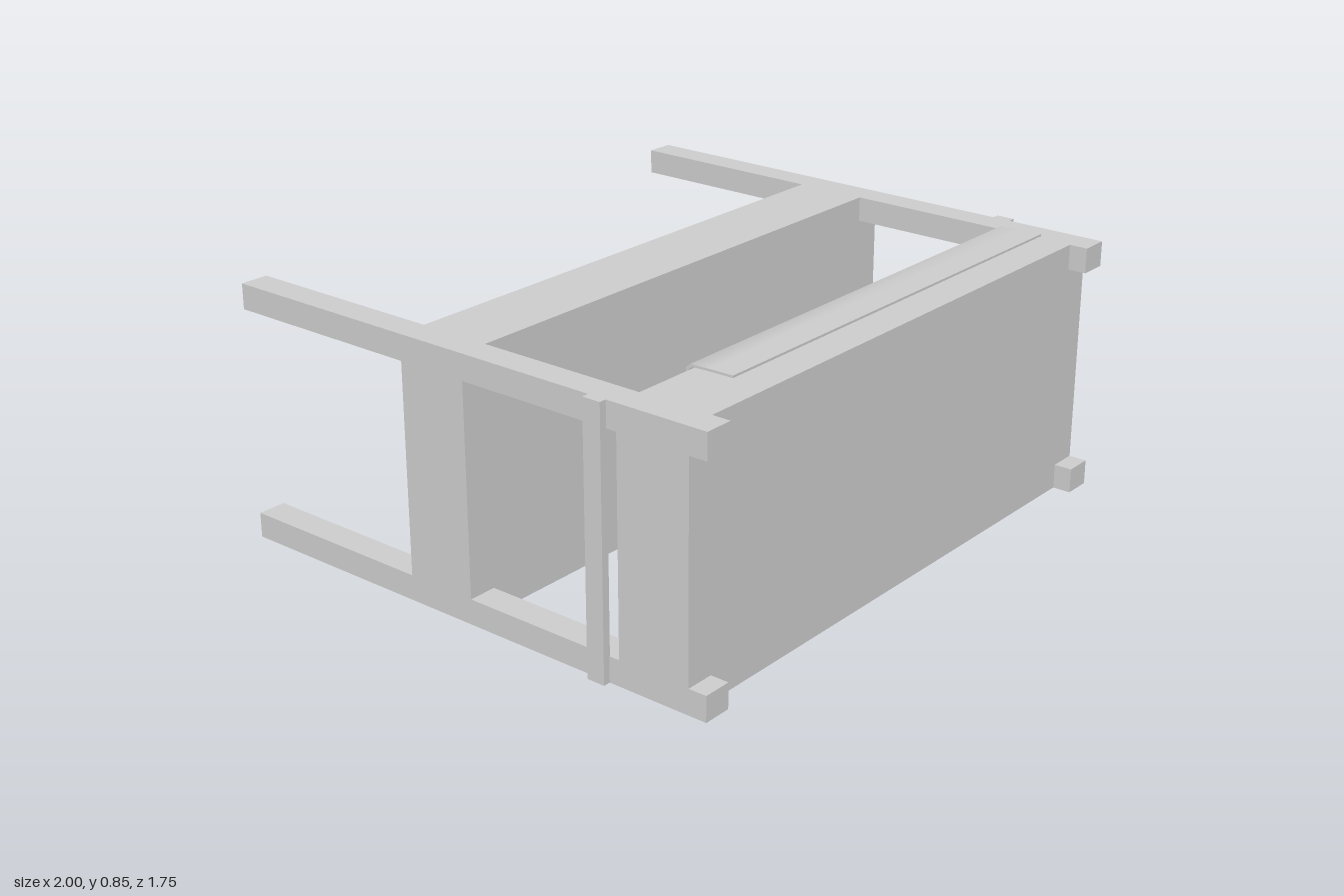
import * as THREE from 'three';
import { RoundedBoxGeometry } from 'three/addons/geometries/RoundedBoxGeometry.js';
import { toCreasedNormals } from 'three/addons/utils/BufferGeometryUtils.js';

// A bunk bed lying on its side: the sleeping surfaces face -z.
const MID_Y = 0.43;

export function createModel() {
  const model = new THREE.Group();
  const material = new THREE.MeshStandardMaterial({ color: 0xcccccc, side: THREE.DoubleSide });

  const add = (name, geometry, parent = model) => {
    const mesh = new THREE.Mesh(geometry, material);
    mesh.name = name;
    parent.add(mesh);
    return mesh;
  };
  // Box given by its limits on each axis
  const box = (name, [x0, x1], [y0, y1], [z0, z1], parent) =>
    add(name, new THREE.BoxGeometry(x1 - x0, y1 - y0, z1 - z0), parent)
      .position.set((x0 + x1) / 2, (y0 + y1) / 2, (z0 + z1) / 2);

  // Four corner posts
  for (const x of [[-0.977, -0.885], [0.877, 0.97]])
    for (const y of [[0.02, 0.1], [0.76, 0.84]])
      box('post', x, y, [-0.875, 0.872]);

  // Cross bars on the outside of both ends
  box('endBar', [-1, -0.975], [0.02, 0.84], [0.48, 0.54]);
  box('endBar', [0.968, 0.995], [0.02, 0.84], [0.48, 0.54]);

  // Bunk: base, raised rim and soft mattress
  const bunk = (name, zTop, zBottom) => {
    const group = new THREE.Group();
    group.name = name;
    model.add(group);
    const floor = zTop + 0.035;
    box('base', [-0.977, 0.97], [0.02, 0.84], [floor, zBottom], group);
    for (const y of [[0.02, 0.1], [0.76, 0.84]])
      box('sideRail', [-0.977, 0.97], y, [zTop, floor], group);
    for (const x of [[-0.977, -0.885], [0.877, 0.97]])
      box('endRail', x, [0.1, 0.76], [zTop, floor], group);
    add('mattress', new RoundedBoxGeometry(1.73, 0.645, 0.08, 5, 0.035), group)
      .position.set(-0.004, MID_Y, zTop + 0.023);
  };
  bunk('upperBunk', -0.212, 0.024);
  bunk('lowerBunk', 0.574, 0.813);

  // Pillow: a box grid swollen into a lens across x, full along y
  const pillow = (name, x, z, halfWidth) => {
    const g = new THREE.BoxGeometry(2, 2, 2, 10, 12, 1);
    const p = g.attributes.position;
    for (let i = 0; i < p.count; i++) {
      const u = Math.sin(p.getX(i) * Math.PI / 2);
      const v = Math.sin(p.getY(i) * Math.PI / 2);
      const swell = Math.max(0, 1 - u * u) * Math.sqrt(Math.max(0, 1 - v ** 6));
      p.setXYZ(i,
        halfWidth * u * (1 - 0.1 * v ** 6),
        0.18 * v * (1 - 0.1 * u ** 6),
        p.getZ(i) > 0 ? 0.036 * swell : -0.055 * swell);
    }
    g.computeVertexNormals();
    add(name, g).position.set(x, MID_Y, z);
  };
  pillow('upperPillow', -0.69, -0.275, 0.15);
  pillow('lowerPillow', -0.735, 0.512, 0.155);

  // Blanket: thin cross-section draped over the lower bunk, run along x
  const half = [[0.424, 0.71], [0.423, 0.63], [0.421, 0.566], [0.41, 0.553], [0.36, 0.549], [0.2, 0.544]];
  const inner = [[0.2, 0.551], [0.36, 0.557], [0.405, 0.561], [0.414, 0.575], [0.416, 0.63], [0.417, 0.71]];
  const mirror = (pts) => pts.map(([y, z]) => [-y, z]).reverse();
  const outline = [...half, ...mirror(half), ...mirror(inner), ...inner];
  const drape = new THREE.ExtrudeGeometry(
    new THREE.Shape(outline.map(([y, z]) => new THREE.Vector2(-z, y))),
    { depth: 1.545, bevelEnabled: false });
  drape.rotateY(Math.PI / 2);
  // After the turn the run lies on +x and the section's -z becomes +z
  drape.translate(-0.67, MID_Y, 0);
  add('blanket', toCreasedNormals(drape, 0.7));

  // Turned-back fold of the blanket, lower towards its two ends
  const section = [[-0.67, 0.55], [-0.618, 0.468], [-0.603, 0.473], [-0.58, 0.522], [-0.562, 0.55]];
  const fold = new THREE.ExtrudeGeometry(
    new THREE.Shape(section.map(([x, z]) => new THREE.Vector2(x, -z))),
    { depth: 0.68, steps: 12, bevelEnabled: false });
  fold.rotateX(-Math.PI / 2);
  fold.translate(0, MID_Y - 0.34, 0);
  const p = fold.attributes.position;
  for (let i = 0; i < p.count; i++) {
    const v = (p.getY(i) - MID_Y) / 0.34;
    p.setZ(i, 0.55 + (p.getZ(i) - 0.55) * (1 - 0.6 * v ** 4));
  }
  add('blanketFold', toCreasedNormals(fold, 0.7));

  return model;
}
